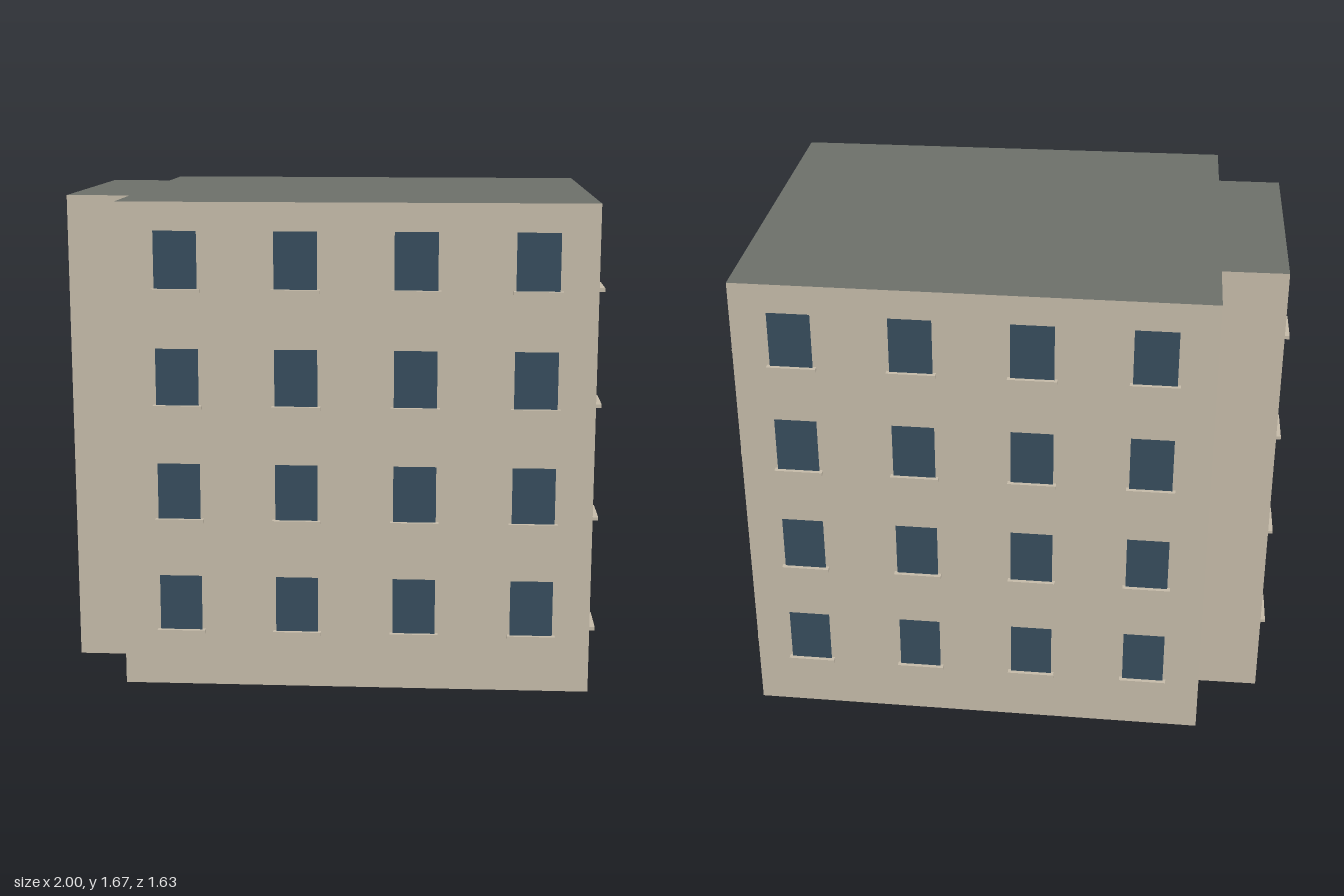
import * as THREE from 'three';

const HEIGHT = 1.667;
const FLOORS = 4;
const FIRST_SILL = 0.2, FLOOR_STEP = 0.393;
const WIN_W = 0.144, WIN_H = 0.193;

// Footprint corners [x, z] counter-clockwise seen from above, with the window count of the wall that starts there
const CORNERS = [
  { x: -0.59, z: 0.806, windows: 4, name: 'frontWall' },
  { x: 0.983, z: 0.541, windows: 4, name: 'leftWall' },
  { x: 0.757, z: -0.812, windows: 4, name: 'backWall' },
  { x: -0.82, z: -0.577, windows: 0, name: 'backStepWall' },
  { x: -0.776, z: -0.311, windows: 0, name: 'wingBackWall' },
  { x: -0.995, z: -0.275, windows: 2, name: 'wingWall' },
  { x: -0.856, z: 0.561, windows: 0, name: 'wingFrontWall' },
  { x: -0.638, z: 0.525, windows: 0, name: 'frontStepWall' },
];

const material = (color) => new THREE.MeshStandardMaterial({ color });

export function createModel() {
  const wallMat = material(0xc4baa8);
  const roofMat = material(0x6c6f69);
  const glassMat = material(0x364c5c);
  const sillMat = material(0xc4baa8);

  const model = new THREE.Group();
  model.name = 'apartmentBuilding';

  const add = (parent, geometry, mat, name, x, y, z) => {
    const mesh = new THREE.Mesh(geometry, mat);
    mesh.name = name;
    mesh.position.set(x, y, z);
    parent.add(mesh);
    return mesh;
  };

  const glassGeo = new THREE.PlaneGeometry(WIN_W, WIN_H);
  const sillGeo = new THREE.BoxGeometry(0.164, 0.012, 0.021);

  // Each wall is built facing its local +z, then turned to run between two corners
  CORNERS.forEach((a, i) => {
    const b = CORNERS[(i + 1) % CORNERS.length];
    const length = Math.hypot(b.x - a.x, b.z - a.z);
    const side = new THREE.Group();
    side.name = a.name;
    side.position.set((a.x + b.x) / 2, 0, (a.z + b.z) / 2);
    side.rotation.y = Math.atan2(-(b.z - a.z), b.x - a.x);
    model.add(side);

    add(side, new THREE.PlaneGeometry(length, HEIGHT), wallMat, 'wall', 0, HEIGHT / 2, 0);

    // Evenly spaced windows with sills on every floor
    for (let floor = 0; floor < FLOORS; floor++) {
      const y = FIRST_SILL + floor * FLOOR_STEP;
      for (let w = 0; w < a.windows; w++) {
        const x = ((w + 0.5) / a.windows - 0.5) * length;
        add(side, glassGeo, glassMat, 'window', x, y + WIN_H / 2 + 0.001, 0.013);
        add(side, sillGeo, sillMat, 'windowSill', x, y - 0.004, 0.0165);
      }
    }
  });

  // Flat roof and underside share the footprint outline
  const outline = new THREE.Shape(CORNERS.map((c) => new THREE.Vector2(c.x, -c.z)));
  const roof = add(model, new THREE.ShapeGeometry(outline), roofMat, 'roof', 0, HEIGHT, 0);
  roof.rotation.x = -Math.PI / 2;

  const mirrored = new THREE.Shape(CORNERS.map((c) => new THREE.Vector2(c.x, c.z)));
  const base = add(model, new THREE.ShapeGeometry(mirrored), roofMat, 'base', 0, 0, 0);
  base.rotation.x = Math.PI / 2;

  return model;
}
